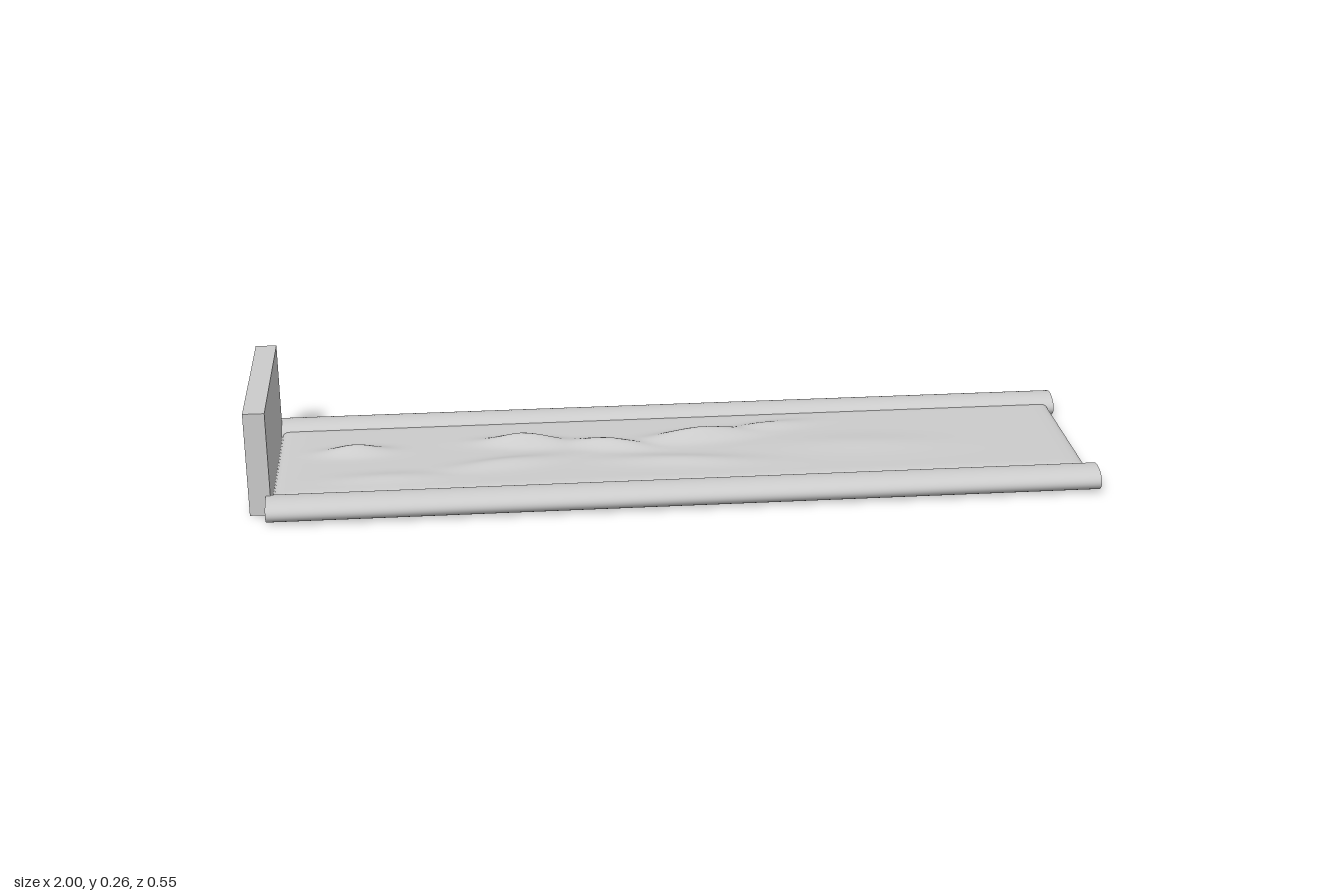
import * as THREE from 'three';
import { mergeVertices } from 'three/addons/utils/BufferGeometryUtils.js';

const grey = () => new THREE.MeshStandardMaterial({ color: 0xcccccc });

function addMesh(group, name, geometry, x, y, z) {
  const mesh = new THREE.Mesh(geometry, grey());
  mesh.name = name;
  mesh.position.set(x, y, z);
  group.add(mesh);
  return mesh;
}

// Folds in the cover: x, z, length, width, height, slant
const FOLDS = [
  [-0.37, -0.06, 0.09, 0.025, 0.026, 0.1],
  [0.06, -0.06, 0.12, 0.03, 0.024, -0.12],
  [-0.78, -0.04, 0.07, 0.025, 0.02, 0],
  [-0.17, -0.03, 0.09, 0.025, 0.018, 0.2],
  [0.22, -0.1, 0.1, 0.025, 0.012, -0.2],
  [-0.42, 0.06, 0.12, 0.03, 0.011, -0.15],
  [0.0, 0.08, 0.16, 0.03, 0.009, 0.1],
  [0.45, 0.02, 0.18, 0.05, 0.006, 0.05],
  [-0.7, 0.12, 0.12, 0.03, 0.007, 0],
];

function foldHeight(x, z) {
  let h = 0;
  for (const [fx, fz, length, width, height, slant] of FOLDS) {
    const dx = x - fx;
    const dz = z - fz - slant * dx;
    h = Math.max(h, height * Math.exp(-((dx / length) ** 2) - (dz / width) ** 2));
  }
  return h;
}

// Slab with rounded upper edge, sloping lower edge and a rumpled top
function mattressGeometry() {
  const hx = 0.967, hz = 0.2;
  let g = new THREE.BoxGeometry(2 * hx, 1, 2 * hz, 140, 5, 44);
  const p = g.attributes.position;
  const heights = [0.008, 0.014, 0.02, 0.028, 0.036, 0.04];
  const insets = [0.035, 0.014, 0, 0, 0.005, 0.015];
  for (let i = 0; i < p.count; i++) {
    const level = Math.round((p.getY(i) + 0.5) * 5);
    const x = p.getX(i) * (1 - insets[level] / hx);
    const z = p.getZ(i) * (1 - insets[level] / hz);
    const fade = Math.min(1, (hz - Math.abs(z)) / 0.03, (hx - Math.abs(x)) / 0.05);
    const top = level === 5 ? (foldHeight(x, z) + 0.003) * fade : 0;
    p.setXYZ(i, x, heights[level] + top, z);
  }
  g.deleteAttribute('normal');
  g.deleteAttribute('uv');
  g = mergeVertices(g, 1e-5);
  g.computeVertexNormals();
  return g;
}

export function createModel() {
  const model = new THREE.Group();
  model.name = 'lowBed';

  // Upright panel at the head end
  addMesh(model, 'headboard', new THREE.BoxGeometry(0.05, 0.255, 0.434), -0.975, 0.1325, 0);

  addMesh(model, 'mattress', mattressGeometry(), 0.018, 0, 0);

  // Oval bolsters along both long sides
  for (const [name, side] of [['leftSideRail', 1], ['rightSideRail', -1]]) {
    const rail = new THREE.CylinderGeometry(1, 1, 1.96, 40);
    rail.rotateZ(Math.PI / 2);
    rail.scale(1, 0.0275, 0.047);
    addMesh(model, name, rail, 0.02, 0.0275, side * 0.23);
  }
  return model;
}
